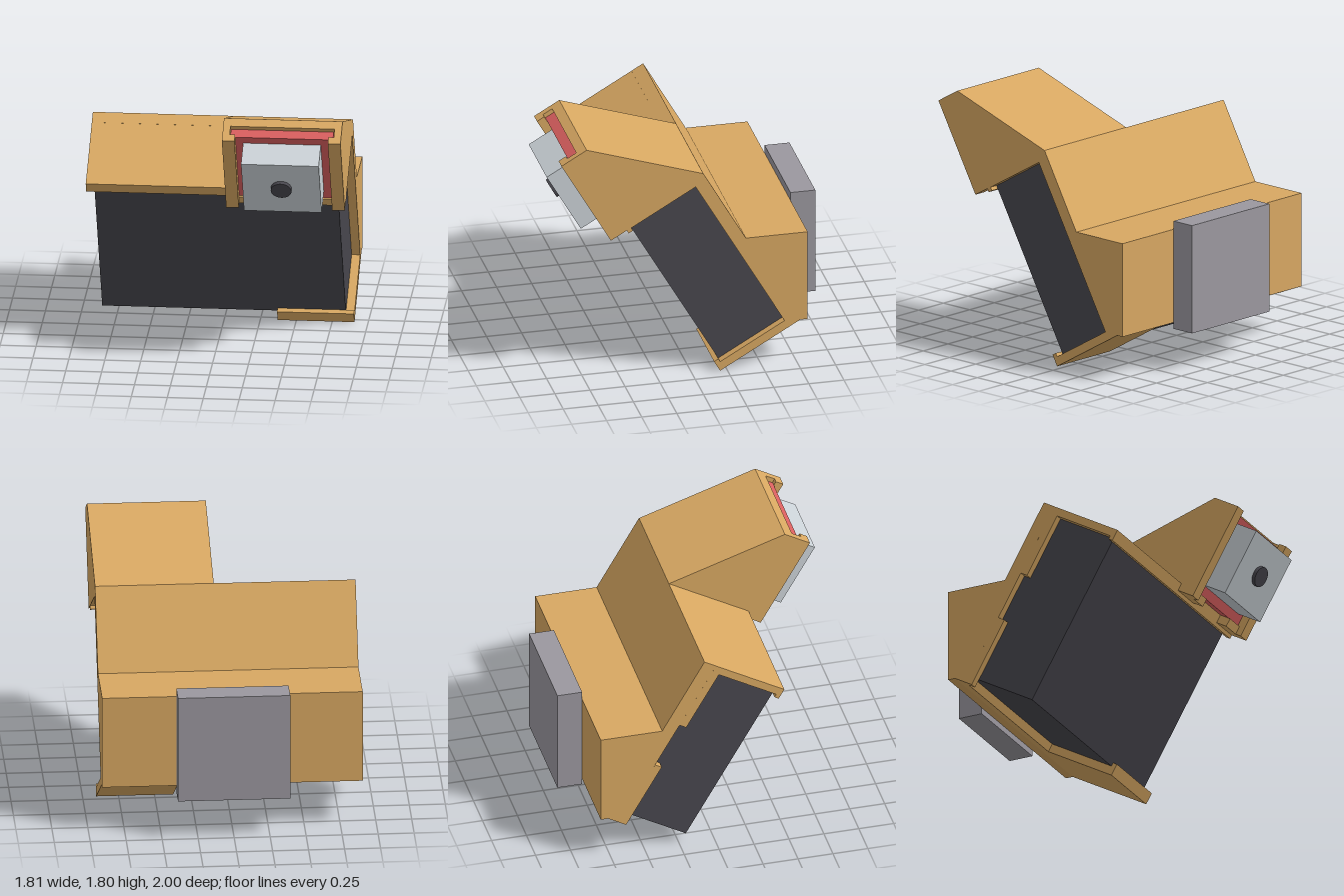
import * as THREE from 'three';

const mat = (name, color) => new THREE.MeshStandardMaterial({ name, color });

export function createModel() {
  const tan = mat('tan plastic', 0xd8a862);
  const dark = mat('dark casing', 0x48474e);
  const red = mat('red board', 0xd95f5f);
  const silver = mat('silver camera', 0xccd3d8);
  const grey = mat('grey mount', 0x9b989f);

  const model = new THREE.Group();
  model.name = 'tiltedDeviceMount';
  // leaning frame: y runs up along the device, z points out of its face
  const tilted = new THREE.Group();
  tilted.name = 'tiltedAssembly';
  tilted.position.set(0, 0.07, -0.2);
  tilted.rotation.x = Math.PI / 6;
  model.add(tilted);

  // box given by its limits on each axis
  function slab(parent, name, material, [x0, x1], [y0, y1], [z0, z1]) {
    const mesh = new THREE.Mesh(new THREE.BoxGeometry(x1 - x0, y1 - y0, z1 - z0), material);
    mesh.position.set((x0 + x1) / 2, (y0 + y1) / 2, (z0 + z1) / 2);
    mesh.name = name;
    parent.add(mesh);
  }

  // side profile of [z, y] points, extruded along x
  function profile(parent, name, material, points, [x0, x1]) {
    const shape = new THREE.Shape(points.map(([z, y]) => new THREE.Vector2(-z, y)));
    const geo = new THREE.ExtrudeGeometry(shape, { depth: x1 - x0, bevelEnabled: false });
    geo.rotateY(Math.PI / 2).translate(x0, 0, 0);
    const mesh = new THREE.Mesh(geo, material);
    mesh.name = name;
    parent.add(mesh);
  }

  // wall side
  slab(model, 'wallPlate', grey, [-0.39, 0.39], [0.285, 1.06], [-1, -0.823]);
  profile(model, 'wedgeBack', tan, [
    [-0.823, 0.33], [-0.823, 1], [-0.383, 1], [-0.08, 1.53],
    [0.003, 1.482], [-0.689, 0.283], [-0.77, 0.33],
  ], [-0.905, 0.905]);

  // held device
  slab(tilted, 'deviceBox', dark, [-0.85, 0.845], [0, 1.268], [-0.53, 0]);

  // top cover and bottom ledge, each with a retaining lip
  slab(tilted, 'topCover', tan, [-0.905, 0.905], [1.268, 1.324], [-0.53, 0.034]);
  slab(tilted, 'topLip', tan, [-0.905, 0.905], [1.243, 1.268], [0, 0.034]);
  slab(tilted, 'bottomLedge', tan, [0.37, 0.905], [-0.06, 0], [-0.53, 0.035]);
  slab(tilted, 'bottomLip', tan, [0.37, 0.905], [0, 0.026], [0, 0.035]);

  // side rims with a gap between them
  slab(tilted, 'lowerSideRim', tan, [-0.905, -0.852], [-0.06, 0.45], [-0.53, -0.475]);
  slab(tilted, 'upperSideRim', tan, [-0.905, -0.852], [0.8, 1.268], [-0.53, -0.475]);

  // camera housing with a slot that opens at the top
  profile(tilted, 'housingCore', tan, [
    [-0.626, 1.324], [-0.042, 1.975], [0.03, 1.975], [0.03, 1.32], [-0.5, 1.32],
  ], [0.08, 0.905]);
  const mid = 0.4925;
  for (const s of [-1, 1]) {
    const span = (a, b) => [mid + s * a, mid + s * b].sort((p, q) => p - q);
    slab(tilted, 'housingWall', tan, span(0.362, 0.4125), [1.27, 1.975], [0.03, 0.165]);
    slab(tilted, 'slotFlange', tan, span(0.325, 0.362), [1.27, 1.975], [0.105, 0.165]);
    slab(tilted, 'slotFloor', tan, span(0.18, 0.362), [1.27, 1.33], [0.03, 0.12]);
  }

  // board and camera
  slab(tilted, 'board', red, [0.133, 0.847], [1.33, 1.945], [0.032, 0.104]);
  slab(tilted, 'cameraBody', silver, [0.22, 0.76], [1.398, 1.886], [0.104, 0.299]);
  const lens = new THREE.Mesh(new THREE.CylinderGeometry(0.072, 0.072, 0.026, 32), dark);
  lens.rotation.x = Math.PI / 2;
  lens.position.set(0.49, 1.645, 0.312);
  lens.name = 'lens';
  tilted.add(lens);

  return model;
}
